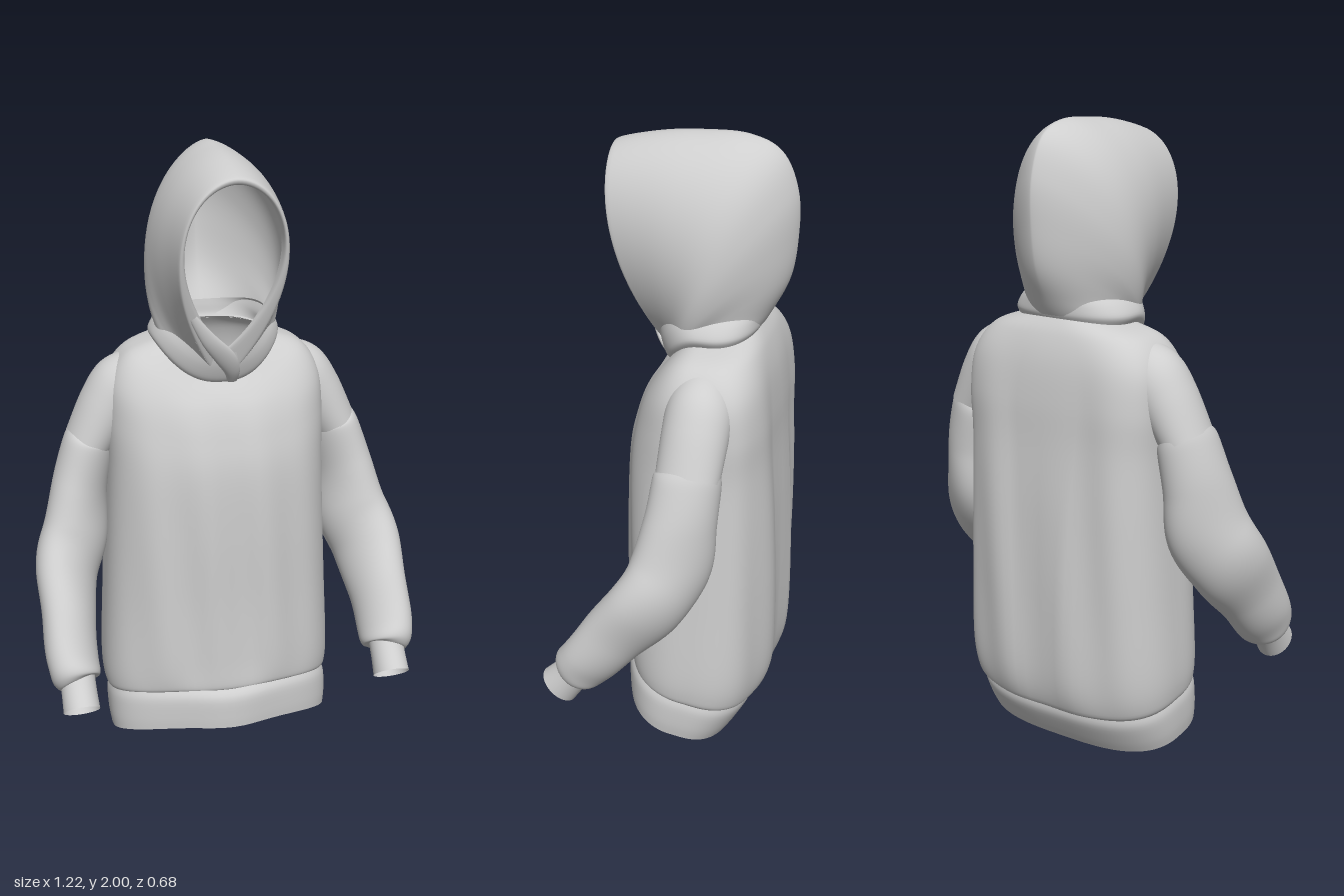
import * as THREE from 'three';

const SEG = 96;
const V = (x, y, z) => new THREE.Vector3(x, y, z);

// Smoothly resample a short table of section parameters
function resample(rows, steps) {
  const out = [];
  const n = rows.length - 1;
  for (let i = 0; i <= steps; i++) {
    const f = (i / steps) * n, k = Math.min(Math.floor(f), n - 1), t = f - k;
    const [p0, p1, p2, p3] = [Math.max(k - 1, 0), k, k + 1, Math.min(k + 2, n)].map((j) => rows[j]);
    out.push(p1.map((b, c) => {
      const m1 = (p2[c] - p0[c]) / 2, m2 = (p3[c] - b) / 2, d = p2[c] - b;
      return b + m1 * t + (3 * d - 2 * m1 - m2) * t * t + (m1 + m2 - 2 * d) * t * t * t;
    }));
  }
  return out;
}

// Skin a stack of closed rings
function skin(rings) {
  const pos = [], idx = [], n = rings[0].length;
  rings.forEach((r) => r.forEach((p) => pos.push(p.x, p.y, p.z)));
  for (let i = 0; i < rings.length - 1; i++) {
    for (let j = 0; j < n; j++) {
      const a = i * n + j, b = i * n + ((j + 1) % n);
      idx.push(a, a + n, b, b, a + n, b + n);
    }
  }
  const g = new THREE.BufferGeometry();
  g.setAttribute('position', new THREE.Float32BufferAttribute(pos, 3));
  g.setIndex(idx);
  g.computeVertexNormals();
  return g;
}

const ring = (fn) => Array.from({ length: SEG }, (_, j) => fn((j / SEG) * Math.PI * 2));

// Torso section: [yFront, ySide, yBack, halfWidth, zFront, zBack, foldDepth, frontBulge, backSquareness, tiltPower]
function torsoRing([yF, yS, yB, w, zF, zB, fold, bulge, square, tilt]) {
  const zc = (zF + zB) / 2, h = (zF - zB) / 2;
  return ring((t) => {
    const c = Math.cos(t), s = Math.sin(t);
    const e = s > 0 ? 2 / 2.4 : 2 / square;
    const x = w * Math.sign(c) * Math.abs(c) ** e;
    let z = zc + h * Math.sign(s) * Math.abs(s) ** e;
    const y = yS + ((s > 0 ? yF : yB) - yS) * Math.abs(s) ** tilt;
    const ripple = s > 0 ? Math.cos(x * 34 + y * 3) : Math.cos(x * 27 - y * 2);
    z += fold * ripple * s * s;
    if (s > 0) z += bulge * Math.exp(-((x / 0.13) ** 2));
    return V(x, y, z);
  });
}

// Tube with elliptical sections: [x, y, z, acrossRadius, depthRadius]
function sweep(rows, steps, wrinkle = 0, shear = 0) {
  const path = resample(rows, steps);
  return skin(path.map(([x, y, z, a, b], i) => {
    const p = path[Math.max(i - 1, 0)], q = path[Math.min(i + 1, steps)];
    const T = V(q[0] - p[0], q[1] - p[1], q[2] - p[2]).normalize();
    const u = V(1, 0, 0).addScaledVector(T, -T.x).normalize();
    const v = u.clone().cross(T);
    const f = i / steps, fade = Math.sin(f * Math.PI);
    return ring((t) => {
      const k = 1 + wrinkle * fade * Math.sin(f * 26 + 2.2 * Math.cos(t - 0.6)) * (0.6 + 0.4 * Math.sin(2 * t));
      const across = a * k * Math.cos(t), depth = b * k * Math.sin(t) - shear * fade * across;
      return V(x, y, z).addScaledVector(u, across).addScaledVector(v, depth);
    });
  }));
}

// Hood loop hinged at the throat: [tiltDegrees, length, halfWidth, taper, startOffset, backTaper]
function hoodRing([deg, L, W, a, d, e]) {
  const f = THREE.MathUtils.degToRad(deg);
  const peak = a / (a + e), norm = peak ** a * (1 - peak) ** e;
  return ring((t) => {
    const s = (1 + Math.cos(t)) / 2;
    const x = Math.sign(Math.sin(t)) * W * (s ** a * Math.max(1 - s, 0) ** e) / norm;
    const r = d + s * (L - d), bow = 0.14 * s * (1 - s);
    return V(x, 1.285 + r * Math.sin(f) + bow * Math.cos(f), 0.045 - r * Math.cos(f) + bow * Math.sin(f));
  });
}

export function createModel() {
  const fabric = new THREE.MeshStandardMaterial({ color: 0xcecece, side: THREE.DoubleSide });
  fabric.name = 'light grey fabric';
  const model = new THREE.Group();
  model.name = 'hoodedSweatshirt';
  const add = (name, geometry, parent = model) => {
    const mesh = new THREE.Mesh(geometry, fabric);
    mesh.name = name;
    parent.add(mesh);
    return mesh;
  };

  // Torso, from hem seam up to neckline
  add('torso', skin(resample([
    [0.25, 0.19, 0.13, 0.368, 0.155, -0.265, 0, 0.02, 3, 0.9],
    [0.27, 0.215, 0.155, 0.38, 0.165, -0.295, 0.004, 0.015, 3, 1],
    [0.36, 0.31, 0.27, 0.385, 0.17, -0.318, 0.008, 0.005, 3, 1.5],
    [0.55, 0.55, 0.52, 0.373, 0.17, -0.322, 0.01, 0, 3.2, 2],
    [0.8, 0.8, 0.8, 0.36, 0.17, -0.316, 0.009, 0, 3.6, 2],
    [1.0, 1.0, 1.02, 0.352, 0.162, -0.305, 0.006, 0, 4, 2],
    [1.12, 1.15, 1.16, 0.354, 0.137, -0.3, 0.004, 0, 4.2, 2],
    [1.2, 1.275, 1.28, 0.342, 0.108, -0.287, 0.002, 0, 3.8, 2],
    [1.25, 1.362, 1.367, 0.285, 0.075, -0.262, 0, 0, 3, 2],
    [1.285, 1.4, 1.415, 0.18, 0.04, -0.232, 0, 0, 2.4, 2],
  ], 60).map(torsoRing)));

  // Tilted rib band around the hem
  add('hemBand', skin(resample([
    [0.12, 0.055, 0, 0.368, 0.165, -0.205, 0, 0.035, 3, 0.9],
    [0.16, 0.1, 0.04, 0.374, 0.168, -0.23, 0, 0.033, 3, 0.9],
    [0.225, 0.165, 0.1, 0.375, 0.168, -0.262, 0, 0.03, 3, 0.9],
    [0.255, 0.195, 0.135, 0.368, 0.155, -0.265, 0, 0.02, 3, 0.9],
  ], 12).map(torsoRing)));

  // Soft collar where the hood is sewn to the neckline
  add('collar', skin(resample([
    [1.275, 1.395, 1.41, 0.196, 0.04, -0.235, 0, 0, 2.4, 2],
    [1.295, 1.42, 1.425, 0.208, 0.056, -0.242, 0, 0, 2.4, 2],
    [1.34, 1.455, 1.45, 0.192, 0.074, -0.245, 0, 0, 2.4, 2],
    [1.385, 1.485, 1.47, 0.165, 0.084, -0.248, 0, 0, 2.4, 2],
  ], 14).map(torsoRing)));

  // Hood shell, fanning from neckline over the crown to the face opening
  add('hood', skin(resample([
    [25, 0.318, 0.185, 0.5, 0, 0.5],
    [31, 0.375, 0.172, 0.5, 0, 0.55],
    [38, 0.46, 0.178, 0.55, 0, 0.65],
    [47, 0.56, 0.2, 0.6, 0, 0.72],
    [56, 0.674, 0.214, 0.65, 0, 0.76],
    [64, 0.745, 0.217, 0.7, 0, 0.74],
    [72, 0.75, 0.213, 0.75, 0, 0.68],
    [83, 0.72, 0.202, 0.8, 0, 0.6],
    [95, 0.7, 0.184, 0.85, 0, 0.55],
    [104, 0.692, 0.17, 0.9, 0, 0.52],
  ], 70).map(hoodRing)));

  // Rolled edge of the face opening
  add('hoodRim', skin(resample([
    [103.7, 0.692, 0.17, 0.9, 0, 0.52],
    [105.4, 0.688, 0.165, 0.9, 0.02, 0.52],
    [105, 0.67, 0.153, 0.9, 0.1, 0.52],
    [101.5, 0.664, 0.149, 0.9, 0.11, 0.52],
  ], 12).map(hoodRing)));

  // Overlap at the throat
  add('throatOverlap', sweep([
    [-0.115, 1.52, 0.138, 0.012, 0.006],
    [-0.06, 1.44, 0.122, 0.025, 0.011],
    [-0.005, 1.375, 0.1, 0.032, 0.012],
    [0.022, 1.325, 0.075, 0.025, 0.012],
    [0.028, 1.285, 0.05, 0.016, 0.008],
  ], 20));

  // Dropped shoulder, sleeve and cuff; built on the left, mirrored to the right
  const shoulder = sweep([
    [0.22, 1.285, -0.115, 0.085, 0.085],
    [0.29, 1.24, -0.118, 0.104, 0.102],
    [0.345, 1.18, -0.116, 0.091, 0.102],
    [0.41, 1.065, -0.11, 0.077, 0.098],
  ], 24);
  const sleeve = sweep([
    [0.4, 1.085, -0.11, 0.07, 0.092],
    [0.412, 1.055, -0.11, 0.083, 0.102],
    [0.442, 0.92, -0.095, 0.094, 0.104],
    [0.47, 0.77, -0.07, 0.111, 0.112],
    [0.507, 0.65, 0.0, 0.103, 0.11],
    [0.522, 0.53, 0.1, 0.088, 0.1],
    [0.522, 0.43, 0.18, 0.085, 0.09],
    [0.52, 0.385, 0.217, 0.077, 0.083],
    [0.517, 0.372, 0.228, 0.052, 0.056],
  ], 70, 0.05, 0.4);
  const cuff = sweep([
    [0.517, 0.4, 0.205, 0.056, 0.058],
    [0.516, 0.35, 0.247, 0.056, 0.06],
    [0.515, 0.305, 0.285, 0.058, 0.066],
  ], 12);
  for (const [name, side] of [['left', 1], ['right', -1]]) {
    const arm = new THREE.Group();
    arm.name = name + 'Arm';
    arm.scale.x = side;
    add(name + 'Shoulder', shoulder, arm);
    add(name + 'Sleeve', sleeve, arm);
    add(name + 'Cuff', cuff, arm);
    model.add(arm);
  }
  return model;
}
